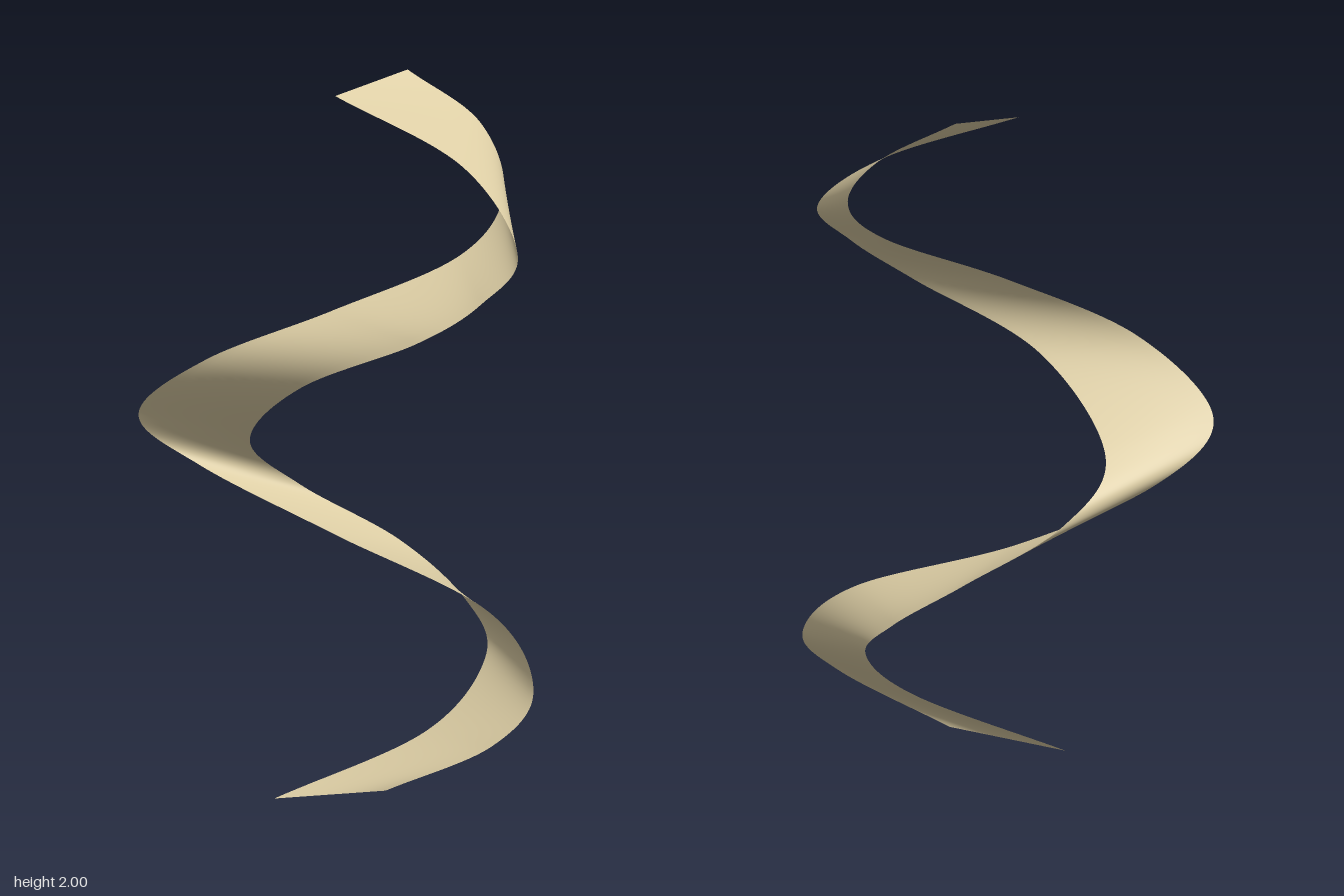
import * as THREE from 'three';

// The two rims of the twisting ribbon, from top to bottom, paired across its width
const rimA = [
  [-0.06, 1.96, -0.06], [0.33, 1.8, 0], [0.54, 1.6, 0.155], [0.46, 1.47, 0.24],
  [0.28, 1.35, 0.27], [-0.08, 1.18, 0.195], [-0.3, 0.96, -0.03], [-0.2, 0.8, -0.19],
  [0.06, 0.645, -0.27], [0.27, 0.5, -0.22], [0.365, 0.37, -0.11], [0.25, 0.19, 0.08],
  [-0.15, 0, 0.225],
];
const rimB = [
  [0.09, 2, -0.26], [0.31, 1.87, -0.235], [0.415, 1.7, -0.115], [0.33, 1.55, 0.03],
  [0, 1.4, 0.165], [-0.36, 1.24, 0.2], [-0.585, 1.045, 0.1], [-0.44, 0.88, -0.015],
  [-0.06, 0.7, -0.055], [0.41, 0.53, 0.015], [0.58, 0.345, 0.135], [0.49, 0.2, 0.235],
  [0.18, 0.05, 0.237],
];

const toCurve = (points) =>
  new THREE.CatmullRomCurve3(points.map((p) => new THREE.Vector3(...p)), false, 'catmullrom', 0.5);

// Straight-line surface between two curves
function ruledSurface(curveA, curveB, length, width) {
  const positions = [];
  const index = [];
  const row = width + 1;
  for (let i = 0; i <= length; i++) {
    const a = curveA.getPoint(i / length);
    const b = curveB.getPoint(i / length);
    for (let j = 0; j <= width; j++) {
      positions.push(...a.clone().lerp(b, j / width).toArray());
      if (i < length && j < width) {
        const k = i * row + j;
        index.push(k, k + row, k + 1, k + 1, k + row, k + row + 1);
      }
    }
  }
  const geometry = new THREE.BufferGeometry();
  geometry.setAttribute('position', new THREE.Float32BufferAttribute(positions, 3));
  geometry.setIndex(index);
  geometry.computeVertexNormals();
  return geometry;
}

export function createModel() {
  const group = new THREE.Group();
  group.name = 'spiralRibbon';
  const material = new THREE.MeshStandardMaterial({ color: 0xdccda4, side: THREE.DoubleSide });
  const ribbon = new THREE.Mesh(ruledSurface(toCurve(rimA), toCurve(rimB), 240, 10), material);
  ribbon.name = 'ribbon';
  group.add(ribbon);
  return group;
}
